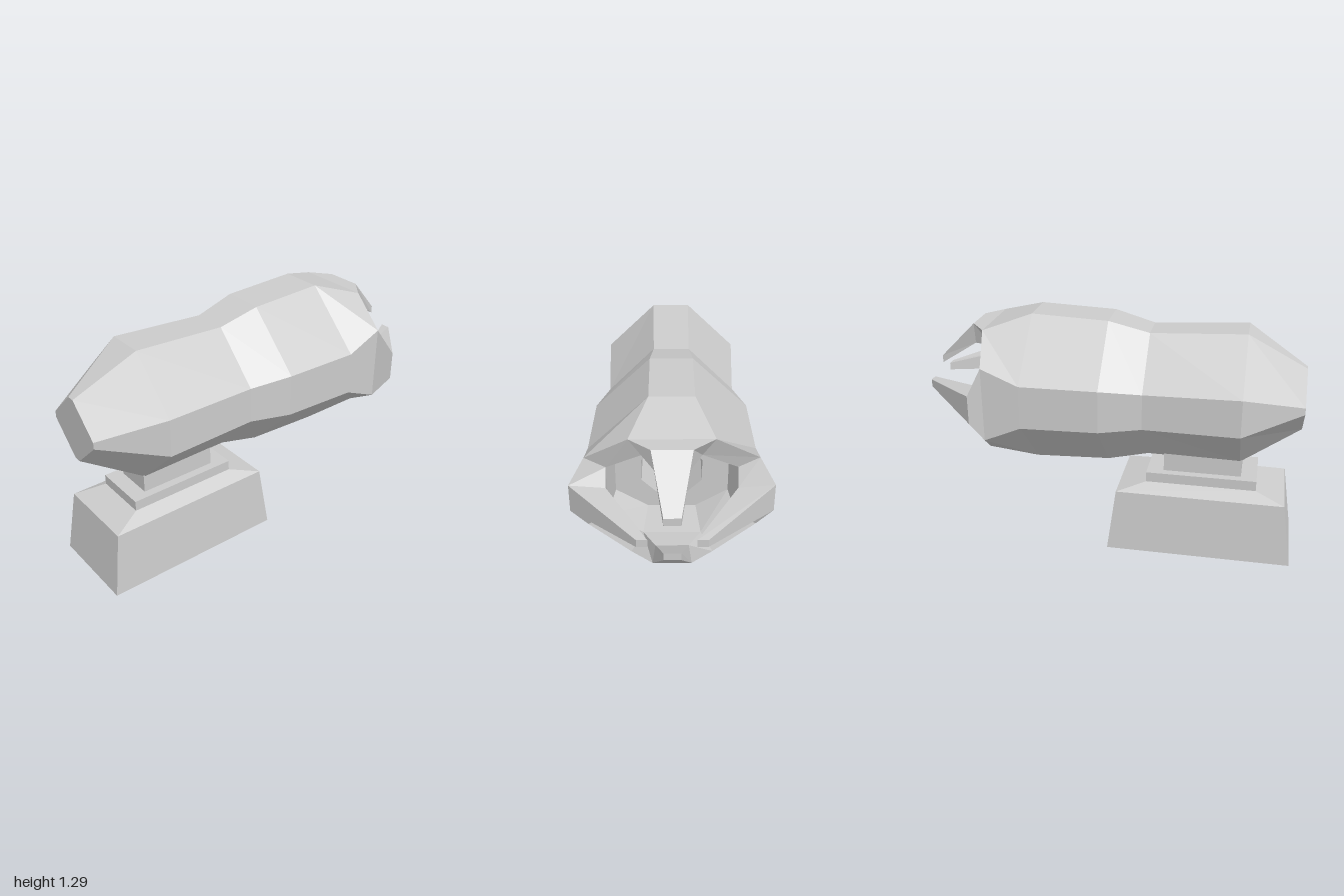
import * as THREE from 'three';

const CY = 0.88; // height of the barrel axis
const material = new THREE.MeshStandardMaterial({ color: 0xcccccc, flatShading: true });

// Skin a list of equal-length point rings with flat facets, with optional end caps
function loft(name, rings, capStart = true, capEnd = true) {
  const pos = [];
  const tri = (a, b, c) => pos.push(...a, ...b, ...c);
  const n = rings[0].length;
  for (let r = 0; r < rings.length - 1; r++) {
    const A = rings[r], B = rings[r + 1];
    for (let i = 0; i < n; i++) {
      const j = (i + 1) % n;
      tri(A[i], B[i], A[j]);
      tri(A[j], B[i], B[j]);
    }
  }
  const first = rings[0], last = rings[rings.length - 1];
  for (let i = 1; i < n - 1; i++) {
    if (capStart) tri(first[0], first[i], first[i + 1]);
    if (capEnd) tri(last[0], last[i + 1], last[i]);
  }
  const geo = new THREE.BufferGeometry();
  geo.setAttribute('position', new THREE.Float32BufferAttribute(pos, 3));
  geo.computeVertexNormals();
  const mesh = new THREE.Mesh(geo, material);
  mesh.name = name;
  return mesh;
}

// Chamfered-diamond section: W, H half extents; a, b half widths of the
// top and side flats; the top and side corners may sit at different z
const octagon = (W, H, a, b, zSide, zTop = zSide, cy = CY) => [
  [W, cy - b, zSide], [W, cy + b, zSide], [a, cy + H, zTop], [-a, cy + H, zTop],
  [-W, cy + b, zSide], [-W, cy - b, zSide], [-a, cy - H, zTop], [a, cy - H, zTop],
];

// Rectangle at height y
const slab = (y, hx, zBack, zFront) => [
  [hx, y, zBack], [hx, y, zFront], [-hx, y, zFront], [-hx, y, zBack],
];

// Claw section pointing along +x: inner/outer radius, half widths and depths
const clawSection = (ri, ro, wi, wo, zi, zo = zi) => [
  [ri, -wi, zi], [ro, -wo, zo], [ro, wo, zo], [ri, wi, zi],
];

export function createModel() {
  const model = new THREE.Group();
  model.name = 'clawedBarrelOnPedestal';

  // Pedestal
  const pedestal = new THREE.Group();
  pedestal.name = 'pedestal';
  pedestal.add(
    loft('pedestalBase', [
      slab(0, 0.25, -0.01, 0.99),
      slab(0.345, 0.225, 0.035, 0.94),
      slab(0.385, 0.15, 0.19, 0.785),
      slab(0.44, 0.15, 0.19, 0.785),
    ]),
    loft('neck', [slab(0.44, 0.105, 0.28, 0.7), slab(0.56, 0.105, 0.28, 0.7)]),
  );
  model.add(pedestal);

  // Barrel shell, from the blunt front to the open rear rim
  const rim = octagon(0.41, 0.333, 0.2, 0.198, -0.625, -0.675);
  model.add(loft('barrel', [
    octagon(0.185, 0.17, 0.02, 0.018, 1),
    octagon(0.36, 0.356, 0.1, 0.1, 0.69, 0.69, 0.885),
    octagon(0.335, 0.343, 0.093, 0.095, 0.19, 0.19, 0.873),
    octagon(0.395, 0.393, 0.11, 0.112, -0.025),
    octagon(0.41, 0.41, 0.11, 0.115, -0.43),
    rim,
  ], true, false));

  // Rear cavity: thick lip, wide recess, then a small inner bore
  model.add(loft('rearCavity', [
    rim,
    octagon(0.31, 0.23, 0.14, 0.14, -0.62, -0.65),
    octagon(0.28, 0.22, 0.12, 0.12, -0.45),
    octagon(0.15, 0.15, 0.06, 0.06, -0.45),
    octagon(0.15, 0.15, 0.06, 0.06, -0.25),
  ], false, true));

  // Four claws around the rim; the side pair flares out, the other pair hooks in
  const sideClaw = [
    clawSection(0.31, 0.41, 0.14, 0.198, -0.62, -0.625),
    clawSection(0.31, 0.485, 0.06, 0.075, -0.675),
    clawSection(0.11, 0.16, 0.02, 0.02, -1),
  ];
  const uprightClaw = [
    clawSection(0.23, 0.333, 0.14, 0.2, -0.65, -0.675),
    clawSection(0.22, 0.333, 0.08, 0.095, -0.76),
    clawSection(0.08, 0.12, 0.04, 0.04, -0.975),
  ];
  ['leftClaw', 'topClaw', 'rightClaw', 'bottomClaw'].forEach((name, i) => {
    const claw = loft(name, i % 2 ? uprightClaw : sideClaw);
    claw.position.y = CY;
    claw.rotation.z = (i * Math.PI) / 2;
    model.add(claw);
  });

  return model;
}
